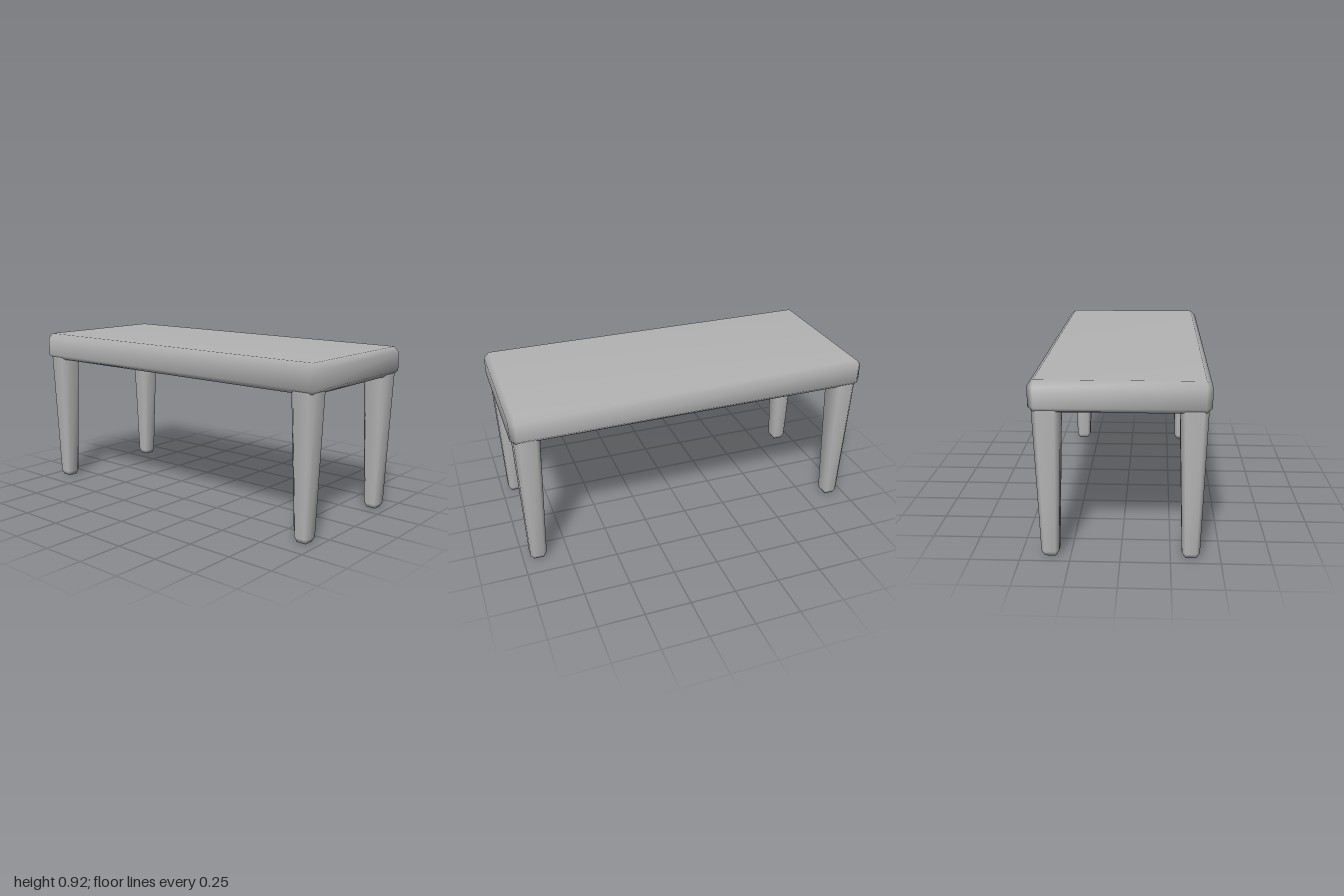
import * as THREE from 'three';
import { mergeVertices } from 'three/addons/utils/BufferGeometryUtils.js';

// Eight-point outline of a rectangle with corners cut by c (c = 0 gives a plain rectangle)
function ring(y, hx, hz, c) {
  const p = [[hx, hz - c], [hx - c, hz]];
  const quarter = [...p, [c - hx, hz], [-hx, hz - c]];
  return [...quarter, ...quarter.map(([x, z]) => [-x, -z])].map(([x, z]) => [x, y, z]);
}

// Solid skinned through stacked rings, smooth-shaded, with closed ends
function loft(rings) {
  const n = 8, last = (rings.length - 1) * n, tris = [];
  for (let r = 0; r < rings.length - 1; r++) {
    for (let i = 0; i < n; i++) {
      const a = r * n + i, b = r * n + (i + 1) % n;
      tris.push([a, a + n, b], [b, a + n, b + n]);
    }
  }
  for (let i = 1; i < n - 1; i++) {
    tris.push([0, i, i + 1], [last, last + i + 1, last + i]);
  }
  const raw = new THREE.BufferGeometry();
  raw.setAttribute('position', new THREE.Float32BufferAttribute(rings.flat(2), 3));
  raw.setIndex(tris.flat());
  const geo = mergeVertices(raw, 1e-4);
  // drop the triangles that collapse where cut corners meet a plain rectangle
  const idx = Array.from(geo.index.array), keep = [];
  for (let i = 0; i < idx.length; i += 3) {
    const [a, b, c] = idx.slice(i, i + 3);
    if (a !== b && b !== c && c !== a) keep.push(a, b, c);
  }
  geo.setIndex(keep);
  geo.computeVertexNormals();
  return geo;
}

export function createModel() {
  const group = new THREE.Group();
  group.name = 'table';
  const grey = new THREE.MeshStandardMaterial({ color: 0xb4b4b4 });
  grey.name = 'plain grey';

  // Table top: slab with every edge bevelled
  const X = 1, Z = 0.435, b = 0.03;
  const top = new THREE.Mesh(loft([
    ring(0.763, X - b, Z - b, 0),
    ring(0.79, X, Z, b),
    ring(0.89, X, Z, b),
    ring(0.92, X - b, Z - b, 0),
  ]), grey);
  top.name = 'tableTop';
  group.add(top);

  // Legs: tapered square posts with cut edges and a bevelled foot
  const legGeo = loft([
    ring(0, 0.027, 0.027, 0),
    ring(0.028, 0.045, 0.045, 0.018),
    ring(0.78, 0.069, 0.069, 0.025),
    ring(0.8, 0.045, 0.045, 0),
  ]);
  for (const [sx, side] of [[1, 'Left'], [-1, 'Right']]) {
    for (const [sz, end] of [[1, 'front'], [-1, 'back']]) {
      const leg = new THREE.Mesh(legGeo, grey);
      leg.name = `${end}${side}Leg`;
      leg.position.set(sx * 0.915, 0, sz * 0.352);
      group.add(leg);
    }
  }
  return group;
}
